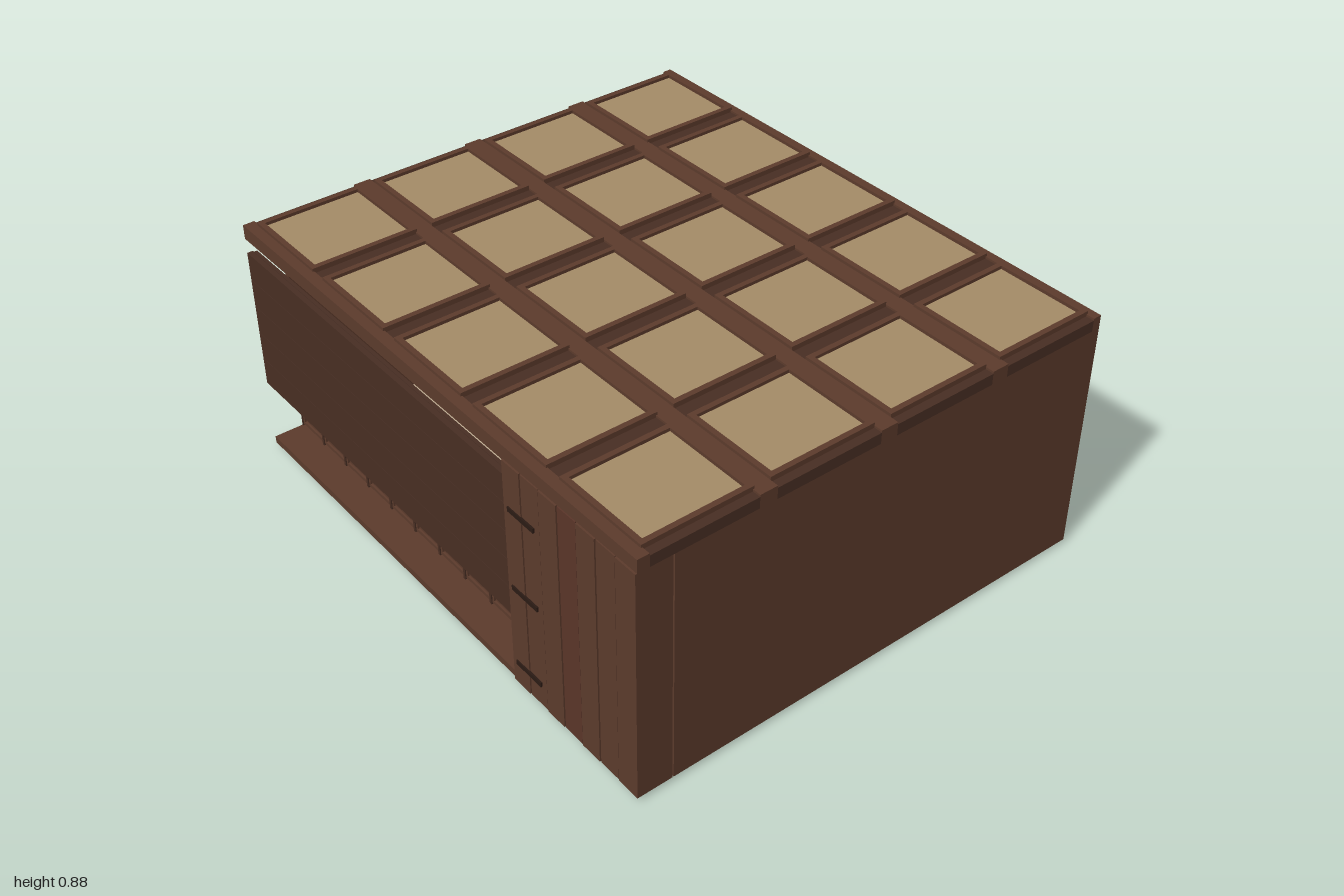
import * as THREE from 'three';

const mat = (color) => new THREE.MeshStandardMaterial({ color });
const wood = mat(0x5c3b2c), dark = mat(0x482e23), black = mat(0x2b1b14);
const tan = mat(0xa48b67), mat1 = mat(0xc0ae94), sillWood = mat(0x7a4d2c);

// Box given by its lower and upper limits on each axis
function box(parent, name, m, x0, x1, y0, y1, z0, z1) {
  const mesh = new THREE.Mesh(new THREE.BoxGeometry(x1 - x0, y1 - y0, z1 - z0), m);
  mesh.position.set((x0 + x1) / 2, (y0 + y1) / 2, (z0 + z1) / 2);
  mesh.name = name;
  parent.add(mesh);
  return mesh;
}

// Rectangular picture-frame, lying in the xy plane and extruded in z
function frame(parent, name, m, w, h, t, depth) {
  const s = new THREE.Shape();
  s.moveTo(-w / 2, -h / 2).lineTo(w / 2, -h / 2).lineTo(w / 2, h / 2).lineTo(-w / 2, h / 2).closePath();
  const p = new THREE.Path(), a = w / 2 - t, b = h / 2 - t;
  p.moveTo(-a, -b).lineTo(-a, b).lineTo(a, b).lineTo(a, -b).closePath();
  s.holes.push(p);
  const mesh = new THREE.Mesh(new THREE.ExtrudeGeometry(s, { depth, bevelEnabled: false }), m);
  mesh.name = name;
  parent.add(mesh);
  return mesh;
}

function group(parent, name) {
  const g = new THREE.Group();
  g.name = name;
  parent.add(g);
  return g;
}

export function createModel() {
  const room = new THREE.Group();
  room.name = 'woodenRoom';

  // Floor
  box(room, 'floor', mat1, -0.995, 0.995, 0.015, 0.025, -0.835, 0.86);

  // Side walls and the back wall around the doorway
  const walls = group(room, 'walls');
  for (const s of [-1, 1]) {
    box(walls, 'sideWall', wood, s * 0.99 - 0.01, s * 0.99 + 0.01, 0.015, 0.83, -0.84, 0.75);
    box(walls, 'backWall', wood, s > 0 ? 0.19 : -0.98, s > 0 ? 0.98 : -0.19, 0.015, 0.83, -0.84, -0.82);
    box(walls, 'doorFoot', dark, s * 0.24 - 0.04, s * 0.24 + 0.04, 0, 0.015, -0.85, -0.82);
  }
  box(walls, 'wallAboveDoor', wood, -0.19, 0.19, 0.66, 0.83, -0.84, -0.82);

  // Door frame
  const door = group(room, 'doorFrame');
  for (const s of [-1, 1])
    box(door, 'doorJamb', wood, s * 0.185 - 0.012, s * 0.185 + 0.012, 0.015, 0.67, -0.88, -0.815);
  box(door, 'doorHead', wood, -0.173, 0.173, 0.648, 0.67, -0.88, -0.815);
  box(door, 'doorSill', sillWood, -0.173, 0.173, 0.015, 0.03, -0.88, -0.815);

  // Coffered roof: long beams, short beams, and framed panels
  const roof = group(room, 'cofferedRoof');
  const longBeams = [[-0.84, -0.81], [-0.45, -0.39], [-0.02, 0.04], [0.41, 0.47], [0.83, 0.87]];
  for (const [a, b] of longBeams) box(roof, 'longBeam', wood, -1, 1, 0.825, 0.875, a, b);
  for (let i = 0; i < 6; i++) {
    const x = -1 + i * 0.4;
    const a = Math.max(-1, x - 0.03), b = Math.min(1, x + 0.03);
    for (let j = 0; j < 4; j++)
      box(roof, 'shortBeam', dark, a, b, 0.83, 0.868, longBeams[j][1], longBeams[j + 1][0]);
  }
  for (const z of [-0.63, -0.205, 0.225, 0.65]) {
    for (let i = 0; i < 5; i++) {
      const x = -0.8 + i * 0.4;
      const f = frame(roof, 'panelFrame', wood, 0.342, 0.37, 0.018, 0.055);
      f.rotation.x = -Math.PI / 2;
      f.position.set(x, 0.83, z);
      box(roof, 'roofPanel', tan, x - 0.155, x + 0.155, 0.862, 0.874, z - 0.17, z + 0.17);
    }
  }

  // Hanging plank shutter over the open front
  const shutter = group(room, 'plankShutter');
  for (let i = 0; i < 5; i++) {
    const y = 0.265 + i * 0.102;
    box(shutter, 'shutterPlank', dark, -1, 0.42, y, y + 0.1, 0.85, 0.87);
    box(shutter, 'plankBacking', dark, -0.99, 0.41, y, y + 0.102, 0.84, 0.852);
  }
  box(room, 'frontLintel', wood, -0.98, 0.42, 0.765, 0.83, 0.75, 0.79);
  for (const y of [0.775, 0.805])
    box(room, 'lintelRail', wood, -0.98, 0.42, y, y + 0.013, 0.79, 0.805);

  // Front ledge and low panelled parapet
  box(room, 'frontLedge', wood, -1, 0.42, 0.015, 0.04, 0.75, 0.87);
  const parapet = group(room, 'lowParapet');
  box(parapet, 'parapetRail', wood, -1, 0.42, 0.245, 0.265, 0.73, 0.77);
  const step = 0.142;
  for (let i = 0; i < 10; i++) {
    const x = -1 + step * (i + 0.5);
    const f = frame(parapet, 'parapetFrame', wood, 0.138, 0.198, 0.012, 0.02);
    f.position.set(x, 0.144, 0.742);
    box(parapet, 'parapetPanel', wood, x - 0.058, x + 0.058, 0.056, 0.232, 0.745, 0.755);
  }
  for (let i = 0; i <= 10; i++) {
    const x = -1 + step * i;
    box(parapet, 'parapetPost', dark, x - (i ? 0.005 : 0), x + 0.005, 0.04, 0.245, 0.738, 0.766);
  }

  // Solid front bay clad with vertical boards
  const bay = group(room, 'boardedBay');
  box(bay, 'bayCore', wood, 0.42, 1, 0.015, 0.83, 0.755, 0.866);
  const n = 7, w = 0.58 / n;
  for (let i = 0; i < n; i++)
    box(bay, 'bayBoard', i === 3 ? mat(0x5a3529) : wood, 0.42 + i * w, 0.42 + (i + 1) * w - (i < n - 1 ? 0.004 : 0),
      0.015, 0.83, 0.866, 0.876 - (i % 2) * 0.002);
  for (const y of [0.1, 0.39, 0.675])
    box(bay, 'strapHinge', black, 0.44, 0.56, y - 0.008, y + 0.008, 0.874, 0.88);

  return room;
}
